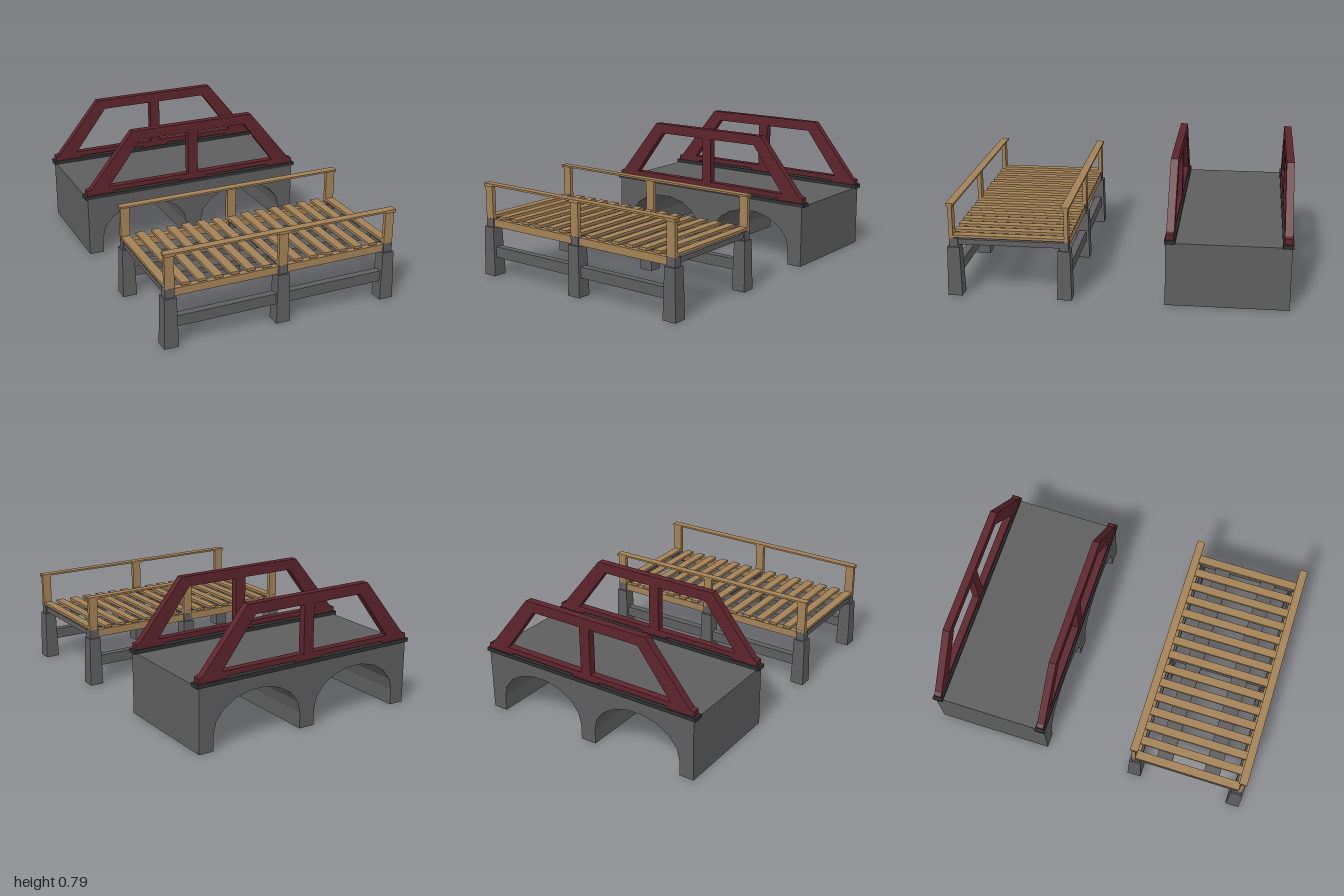
import * as THREE from 'three';

const material = (color) => new THREE.MeshStandardMaterial({ color, flatShading: true });

export function createModel() {
  const model = new THREE.Group();
  const stone = material(0x5e5e5e), dark = material(0x303030);
  const wood = material(0xa38256), red = material(0x5c242b);

  const group = (name) => {
    const g = new THREE.Group();
    g.name = name;
    model.add(g);
    return g;
  };
  const add = (parent, name, geometry, mat, x = 0, y = 0, z = 0) => {
    const mesh = new THREE.Mesh(geometry, mat);
    mesh.name = name;
    mesh.position.set(x, y, z);
    parent.add(mesh);
    return mesh;
  };
  // Box given by its x centre, bottom and top heights, and z centre
  const box = (parent, name, mat, w, y0, y1, d, x, z) =>
    add(parent, name, new THREE.BoxGeometry(w, y1 - y0, d), mat, x, (y0 + y1) / 2, z);
  const points = (list) => list.map(([x, y]) => new THREE.Vector2(x, y));
  const extrude = (shape, depth) =>
    new THREE.ExtrudeGeometry(shape, { depth, bevelEnabled: false });

  // ---------- Stone bridge: solid body with two arched passages ----------
  const stoneBridge = group('stoneBridge');
  const outline = [[-0.722, 0.38], [-0.722, 0]];
  for (const cx of [-0.34, 0.34]) {
    outline.push([cx - 0.29, 0]);
    for (let i = 0; i <= 9; i++) {
      const a = Math.PI * (1 - i / 9);
      outline.push([cx + 0.29 * Math.cos(a), 0.095 + 0.21 * Math.sin(a)]);
    }
    outline.push([cx + 0.29, 0]);
  }
  outline.push([0.722, 0], [0.722, 0.38]);
  add(stoneBridge, 'archedBody', extrude(new THREE.Shape(points(outline)), 0.715), stone, 0, 0, -0.992);

  // Side truss: trapezoid frame with feet and two openings
  const half = [[0.09, 0.4], [0.09, 0.412], [0.545, 0.412], [0.545, 0.4],
    [0.722, 0.4], [0.722, 0.432], [0.695, 0.44], [0.412, 0.787]];
  const mirror = (list) => list.map(([x, y]) => [-x, y]).reverse();
  const trussShape = new THREE.Shape(points([...half, ...mirror(half)]));
  const opening = [[0.033, 0.443], [0.575, 0.443], [0.362, 0.725], [0.033, 0.725]];
  for (const hole of [opening, mirror(opening)]) trussShape.holes.push(new THREE.Path(points(hole)));
  for (const z of [-0.302, -0.969]) {
    box(stoneBridge, 'curb', dark, 1.475, 0.378, 0.401, 0.062, 0, z);
    add(stoneBridge, 'truss', extrude(trussShape, 0.045), red, 0, 0, z - 0.0225);
  }

  // ---------- Wooden bridge: plank deck on stone pillars ----------
  const woodBridge = group('woodenBridge');
  const midZ = 0.632;
  const supports = [-0.683, 0, 0.683];

  // Tapered square pillar
  const pillar = new THREE.CylinderGeometry(0.036 * Math.SQRT2, 0.043 * Math.SQRT2, 0.3, 4, 1);
  pillar.rotateY(Math.PI / 4);

  for (const side of [-1, 1]) {
    const z = midZ + side * 0.325;
    const railZ = midZ + side * 0.338;
    for (const x of supports) {
      add(woodBridge, 'pillar', pillar, stone, x, 0.15, z);
      box(woodBridge, 'pillarCap', stone, 0.056, 0.3, 0.352, 0.052, x, z);
      box(woodBridge, 'railPost', wood, 0.056, 0.35, 0.548, 0.024, x, railZ);
      box(woodBridge, 'postCap', wood, 0.068, 0.546, 0.556, 0.036, x, railZ);
    }
    box(woodBridge, 'handRail', wood, 1.43, 0.555, 0.566, 0.048, 0, railZ - side * 0.003);
    box(woodBridge, 'sideBeam', wood, 1.36, 0.302, 0.348, 0.036, 0, z);
    box(woodBridge, 'lowerBrace', stone, 1.366, 0.115, 0.18, 0.045, 0, z);
    // Bearer running under the planks
    box(woodBridge, 'deckBearer', stone, 1.366, 0.318, 0.356, 0.098, 0, midZ + side * 0.15 - 0.006);
  }

  // Cross beams joining opposite pillars
  for (const x of supports) box(woodBridge, 'crossBeam', stone, 0.045, 0.314, 0.346, 0.62, x, midZ);

  // Deck planks
  for (let i = -7; i <= 7; i++)
    box(woodBridge, 'plank', wood, 0.052, 0.356, 0.372, 0.694, i * 0.0976, midZ - 0.004);

  return model;
}
